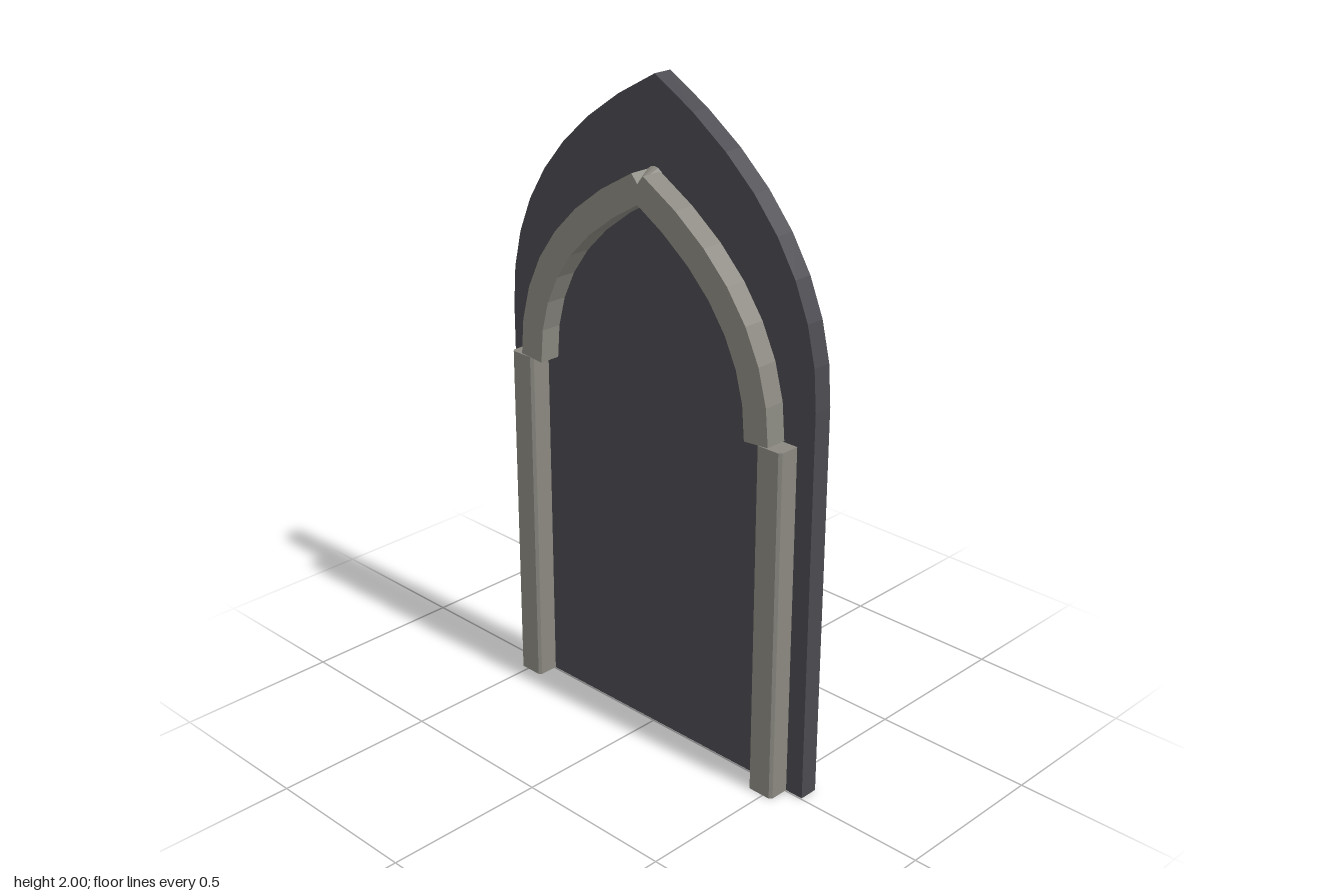
import * as THREE from 'three';

const V = (x, y) => new THREE.Vector2(x, y);
const SLAB_BACK = -0.063, SLAB_FRONT = -0.004, TRIM_FRONT = 0.063;

// Points of the right half of a pointed arch, from spring line to apex
const halfArch = (halfWidth, spring, shoulder, apex, n) =>
  new THREE.QuadraticBezierCurve(V(halfWidth, spring), V(halfWidth, shoulder), V(0, apex)).getPoints(n);

const mirrored = (pts) => pts.map((p) => V(-p.x, p.y)).reverse();

function extrudeZ(points, z0, z1) {
  const geo = new THREE.ExtrudeGeometry(new THREE.Shape(points), { depth: z1 - z0, bevelEnabled: false });
  return geo.translate(0, 0, z0);
}

export function createModel() {
  const group = new THREE.Group();
  const dark = new THREE.MeshStandardMaterial({ color: 0x4a4a50, flatShading: true });
  const stone = new THREE.MeshStandardMaterial({ color: 0x8a8880, flatShading: true });
  const add = (name, geo, mat) => {
    const mesh = new THREE.Mesh(geo, mat);
    mesh.name = name;
    group.add(mesh);
    return mesh;
  };

  // Pointed back slab
  const edge = halfArch(0.59, 1.2, 1.7, 2, 8);
  add('backSlab', extrudeZ([V(0.59, 0), ...edge, ...mirrored(edge).slice(1), V(-0.59, 0)], SLAB_BACK, SLAB_FRONT), dark);

  // Arch moulding: offset a centre line both ways, leaving a small notch at the apex
  const centre = halfArch(0.443, 1.085, 1.47, 1.7, 7);
  const half = 0.0425;
  const normals = centre.map((p, i) => {
    const a = centre[Math.max(i - 1, 0)], b = centre[Math.min(i + 1, centre.length - 1)];
    const d = b.clone().sub(a).normalize();
    return V(d.y, -d.x);
  });
  const outer = centre.map((p, i) => p.clone().addScaledVector(normals[i], half));
  const inner = centre.map((p, i) => p.clone().addScaledVector(normals[i], -half));
  inner[inner.length - 1].set(0, 1.652);
  const outline = [
    ...outer, V(0, 1.71), ...mirrored(outer),
    ...mirrored(inner).reverse(), ...inner.slice(0, -1).reverse(),
  ];
  add('archMoulding', extrudeZ(outline, SLAB_FRONT, TRIM_FRONT), stone);

  // Tapered plug filling the apex notch
  const plug = new THREE.ConeGeometry(0.035, TRIM_FRONT - SLAB_FRONT, 16);
  plug.rotateX(Math.PI / 2).translate(0, 1.712, (TRIM_FRONT + SLAB_FRONT) / 2);
  add('apexPlug', plug, stone);

  // Side columns with slightly eased front corners
  const w = 0.044, c = 0.008;
  const section = [
    V(-w, -SLAB_FRONT), V(-w, -TRIM_FRONT + c), V(-w + c, -TRIM_FRONT),
    V(w - c, -TRIM_FRONT), V(w, -TRIM_FRONT + c), V(w, -SLAB_FRONT),
  ];
  for (const [name, side] of [['leftColumn', 1], ['rightColumn', -1]]) {
    const geo = extrudeZ(section, 0, 1.085).rotateX(-Math.PI / 2);
    add(name, geo, stone).position.x = side * 0.487;
  }
  return group;
}
